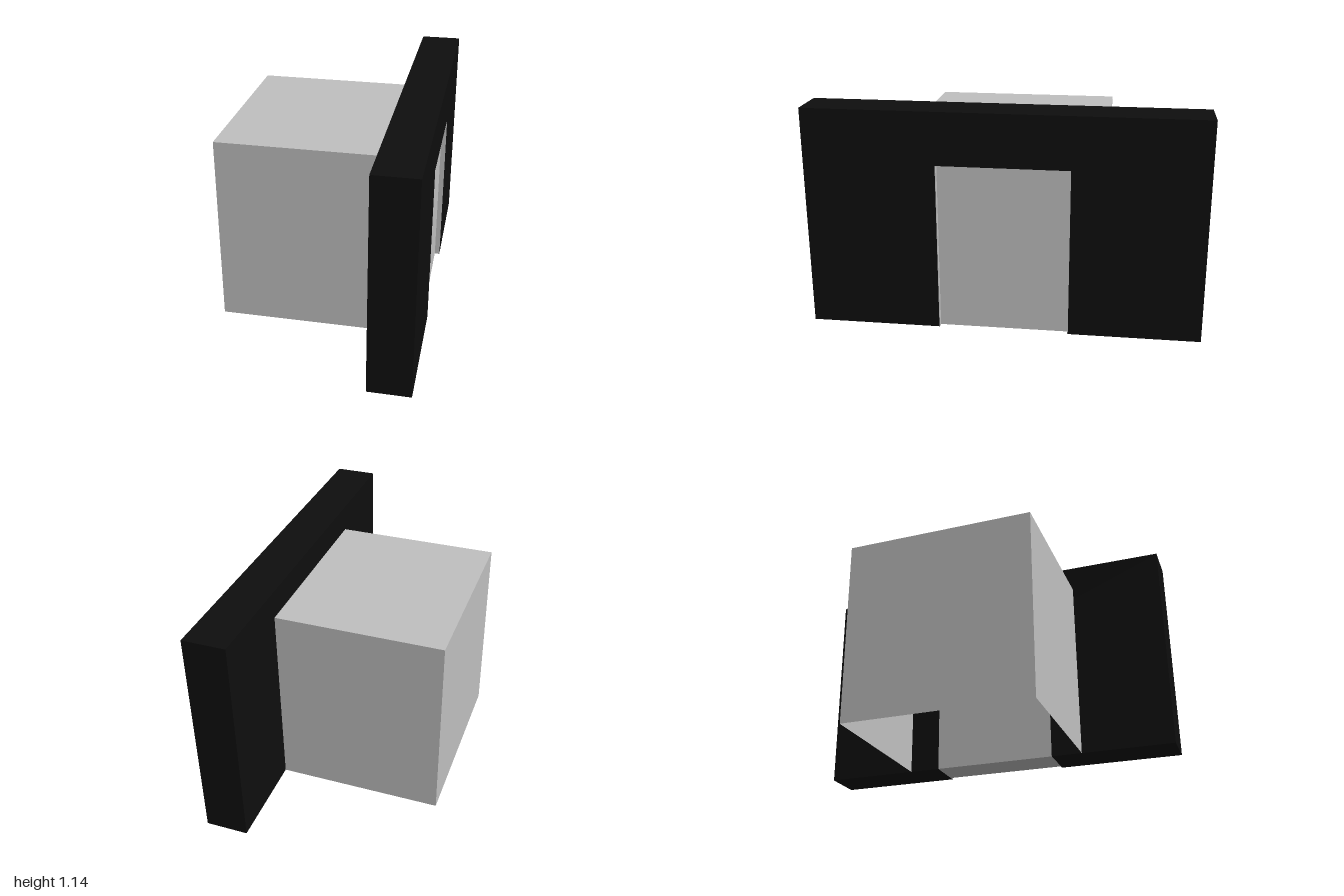
import * as THREE from 'three';

export function createModel() {
  const model = new THREE.Group();
  const grey = new THREE.MeshStandardMaterial({ color: 0xc0c0c0, side: THREE.DoubleSide });
  grey.name = 'light grey';
  const black = new THREE.MeshStandardMaterial({ color: 0x0e0e0e });
  black.name = 'black';

  const wallBack = 0.32, wallFront = 0.54, doorHalf = 0.333, doorTop = 0.87;

  function add(name, geometry, material, x, y, z) {
    const mesh = new THREE.Mesh(geometry, material);
    mesh.name = name;
    mesh.position.set(x, y, z);
    model.add(mesh);
    return mesh;
  }
  const box = (name, x0, x1, y0, y1, z0, z1) =>
    add(name, new THREE.BoxGeometry(x1 - x0, y1 - y0, z1 - z0), grey,
      (x0 + x1) / 2, (y0 + y1) / 2, (z0 + z1) / 2);

  // Wall slab with a doorway, drawn in z/y and extruded along x
  const outline = new THREE.Shape([
    [-1, 0], [-doorHalf, 0], [-doorHalf, doorTop], [doorHalf, doorTop],
    [doorHalf, 0], [1, 0], [1, 1.14], [-1, 1.14],
  ].map(([z, y]) => new THREE.Vector2(z, y)));
  const slab = new THREE.ExtrudeGeometry(outline, { depth: wallFront - wallBack, bevelEnabled: false });
  slab.rotateY(Math.PI / 2);
  add('wall', slab, black, wallBack, 0, 0);

  // Room shell behind the wall: open underneath and against the wall
  const roomBack = -0.54, depth = wallBack - roomBack, midX = (wallBack + roomBack) / 2;
  add('roomRoof', new THREE.PlaneGeometry(depth, 1), grey, midX, 1, 0).rotation.x = -Math.PI / 2;
  add('roomBack', new THREE.PlaneGeometry(1, 1), grey, roomBack, 0.5, 0).rotation.y = -Math.PI / 2;
  for (const side of [-1, 1]) {
    const wall = add('roomSide', new THREE.PlaneGeometry(depth, 1), grey, midX, 0.5, side * 0.5);
    if (side < 0) wall.rotation.y = Math.PI;
  }

  // Door block, set slightly back in the doorway
  const doorFace = 0.513, lining = 0.003;
  box('door', wallBack, doorFace, 0, doorTop, -doorHalf, doorHalf);

  // Thin lining around the recess
  for (const side of [-1, 1]) {
    const outer = side * doorHalf, inner = side * (doorHalf - lining);
    box('doorJamb', doorFace, wallFront, 0, doorTop, Math.min(outer, inner), Math.max(outer, inner));
  }
  box('doorHead', doorFace, wallFront, doorTop - lining, doorTop, -doorHalf, doorHalf);

  return model;
}
